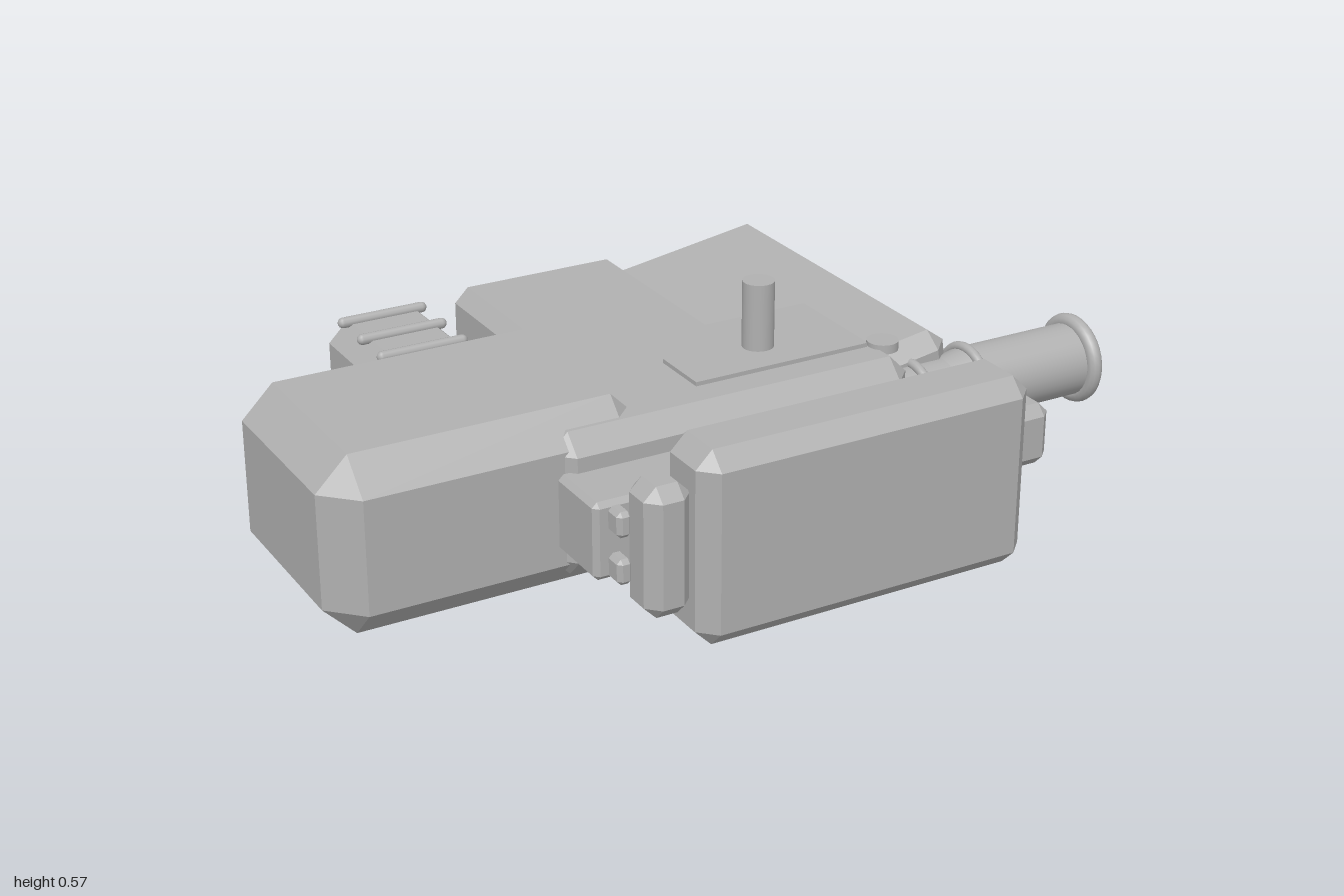
import * as THREE from 'three';
import { ConvexGeometry } from 'three/addons/geometries/ConvexGeometry.js';

export function createModel() {
  const model = new THREE.Group();
  model.name = 'modularDevice';
  const grey = new THREE.MeshStandardMaterial({ color: 0xb0b0b0 });
  grey.name = 'plainGrey';

  function add(name, geometry, x = 0, y = 0, z = 0) {
    const mesh = new THREE.Mesh(geometry, grey);
    mesh.name = name;
    mesh.position.set(x, y, z);
    model.add(mesh);
    return mesh;
  }

  // Box with one flat bevel on every edge and a triangle on every corner
  function bevelBox(w, h, d, c) {
    const points = [];
    for (const sx of [-1, 1]) for (const sy of [-1, 1]) for (const sz of [-1, 1]) {
      for (let axis = 0; axis < 3; axis++) {
        const inset = [0, 1, 2].map((i) => (i === axis ? 0 : c));
        points.push(new THREE.Vector3(
          sx * (w / 2 - inset[0]), sy * (h / 2 - inset[1]), sz * (d / 2 - inset[2])));
      }
    }
    return new ConvexGeometry(points);
  }

  // Bevelled box given by its limits along x, y and z
  function block(name, [x0, x1], [y0, y1], [z0, z1], c) {
    return add(name, bevelBox(x1 - x0, y1 - y0, z1 - z0, c),
      (x0 + x1) / 2, (y0 + y1) / 2, (z0 + z1) / 2);
  }

  // Main blocks
  block('centralBody', [-0.49, 0.42], [0.06, 0.4], [-0.09, 0.365], 0.045);
  block('sideHousing', [-1, -0.24], [0.022, 0.44], [-0.22, 0.345], 0.075);
  block('rearBlock', [-0.28, 0.175], [0.09, 0.37], [-0.635, 0], 0.035);
  block('frontSpacer', [-0.485, 0.38], [0.138, 0.32], [0.34, 0.515], 0.012);
  block('frontPack', [-0.32, 0.515], [0, 0.455], [0.5, 0.685], 0.04);
  block('ribbedBlock', [-0.64, -0.375], [0.08, 0.38], [-0.58, -0.16], 0.05);
  block('smallLatch', [-0.425, -0.315], [0.08, 0.385], [0.525, 0.645], 0.03);
  block('sideGrip', [0.555, 0.67], [0.155, 0.305], [0.26, 0.55], 0.025);

  // Wing plate rising toward its outer edge
  add('tiltedPlate', bevelBox(0.632, 0.185, 0.9, 0.04), 0.325, 0.233, -0.24)
    .rotation.z = THREE.MathUtils.degToRad(9);

  // Pegs between latch and spacer
  for (const x of [-0.435, -0.33]) {
    for (const y of [0.17, 0.28]) {
      block('latchPeg', [x - 0.018, x + 0.018], [y - 0.03, y + 0.03], [0.505, 0.56], 0.01);
    }
  }

  // Ribs on the rear block
  for (const z of [-0.51, -0.395, -0.28]) {
    add('rib', new THREE.CapsuleGeometry(0.013, 0.2, 4, 10), -0.51, 0.383, z).rotation.z = Math.PI / 2;
  }

  // Hose between the rear blocks
  const hosePath = new THREE.CatmullRomCurve3([
    new THREE.Vector3(-0.4, 0.23, -0.45),
    new THREE.Vector3(-0.32, 0.23, -0.465),
    new THREE.Vector3(-0.25, 0.23, -0.42),
    new THREE.Vector3(-0.25, 0.23, -0.3),
    new THREE.Vector3(-0.29, 0.23, -0.19),
  ]);
  add('hose', new THREE.TubeGeometry(hosePath, 24, 0.022, 12));

  // Top panel, post and hinge caps
  add('topPanel', new THREE.BoxGeometry(0.45, 0.03, 0.15), 0.135, 0.395, 0.175);
  add('post', new THREE.CylinderGeometry(0.037, 0.037, 0.19, 24), 0.135, 0.475, 0.14);
  for (const y of [0.4, 0.06]) {
    add('hingeCap', new THREE.CylinderGeometry(0.037, 0.037, 0.022, 24), 0.4, y, 0.253);
  }

  // Barrel along x, with a recessed end
  const axisY = 0.23, axisZ = 0.218;
  const tube = (name, r0, r1, x0, x1, open = false) => {
    const mesh = add(name, new THREE.CylinderGeometry(r1, r0, x1 - x0, 32, 1, open),
      (x0 + x1) / 2, axisY, axisZ);
    mesh.rotation.z = -Math.PI / 2;
  };
  const ring = (name, x, radius, thickness) => {
    add(name, new THREE.TorusGeometry(radius, thickness, 12, 36), x, axisY, axisZ).rotation.y = Math.PI / 2;
  };
  tube('barrelNeck', 0.075, 0.075, 0.38, 0.6);
  tube('barrelCone', 0.075, 0.088, 0.6, 0.665);
  tube('barrel', 0.088, 0.088, 0.665, 0.975);
  ring('neckRing', 0.515, 0.08, 0.012);
  ring('barrelRing', 0.665, 0.09, 0.012);
  ring('muzzleRing', 0.98, 0.091, 0.019);

  return model;
}
